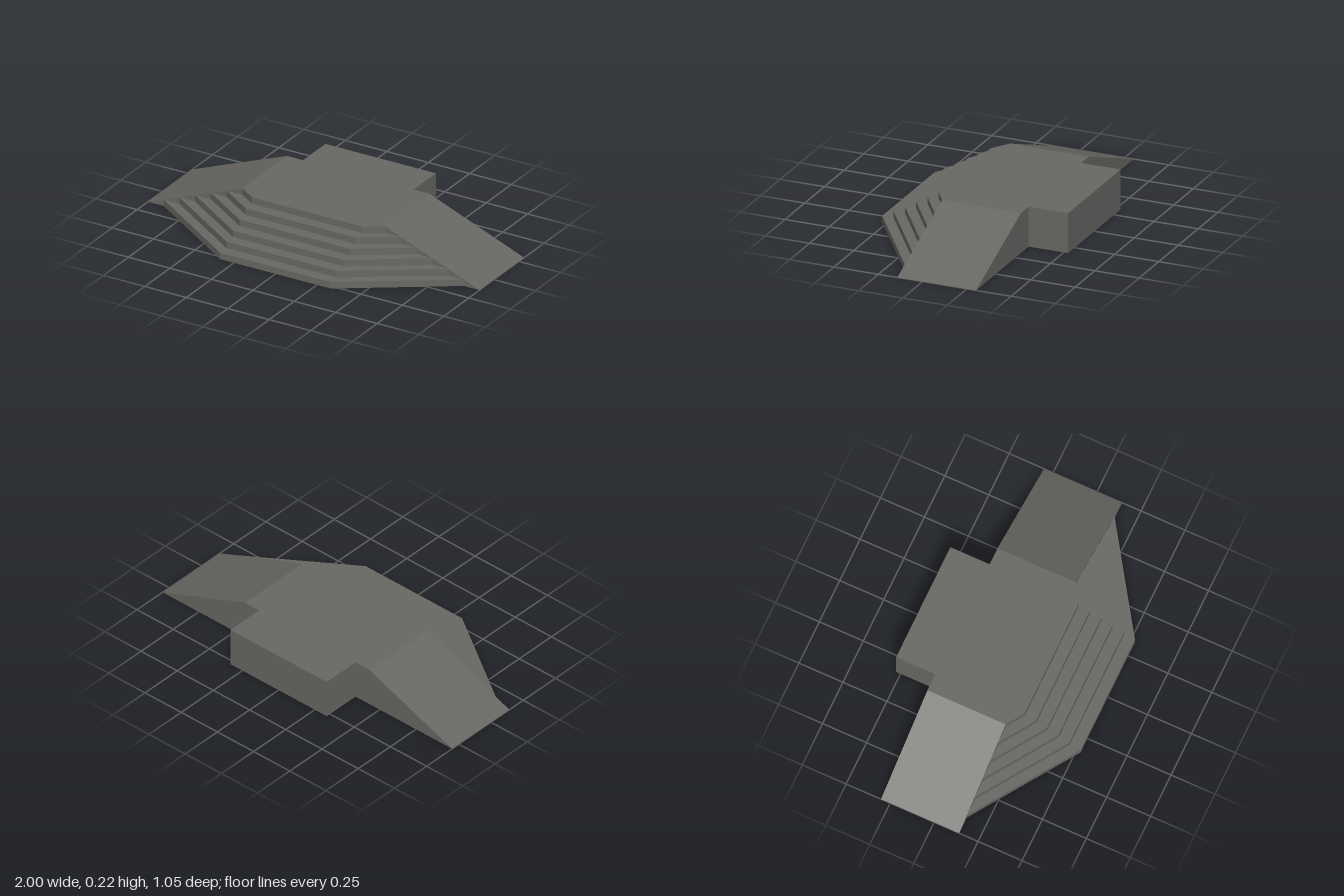
import * as THREE from 'three';

const HEIGHT = 0.222, STEPS = 6, RISE = HEIGHT / STEPS;
const BACK = -0.302, FRONT = 0.143, DEPTH = 0.525; // ramp back, ramp front, outer limits in z
const HALF = 0.333, DECK = 0.43;                   // landing and deck half widths

const shapeOf = (points) => new THREE.Shape(points.map(([x, y]) => new THREE.Vector2(x, y)));
const extrude = (points, depth) =>
  new THREE.ExtrudeGeometry(shapeOf(points), { depth, bevelEnabled: false });

export function createModel() {
  const model = new THREE.Group();
  model.name = 'steppedPlatform';
  const stone = new THREE.MeshStandardMaterial({ color: 0x696763 });
  stone.name = 'grey stone';

  const add = (name, geometry) => {
    const mesh = new THREE.Mesh(geometry, stone);
    mesh.name = name;
    model.add(mesh);
    return mesh;
  };

  // Deck with a ramp down to each side
  const deck = add('deckWithRamps',
    extrude([[-1, 0], [1, 0], [DECK, HEIGHT], [-DECK, HEIGHT]], FRONT - BACK));
  deck.position.z = BACK;

  // Landing block at the back
  const landing = add('backLanding', new THREE.BoxGeometry(HALF * 2, HEIGHT, BACK + DEPTH));
  landing.position.set(0, HEIGHT / 2, (BACK - DEPTH) / 2);

  // Steps with angled sides, each ending where its tread meets the ramp
  const steps = new THREE.Group();
  steps.name = 'frontSteps';
  model.add(steps);
  for (let i = 0; i < STEPS; i++) {
    const side = 1 - (1 - DECK) * (i + 1) / STEPS;
    const front = DEPTH - i * 0.0637;
    const geometry = extrude(
      [[-side, -FRONT], [-HALF, -front], [HALF, -front], [side, -FRONT]], RISE);
    geometry.rotateX(-Math.PI / 2);
    const step = add(`step${i + 1}`, geometry);
    step.position.y = i * RISE;
    steps.add(step);
  }
  return model;
}
